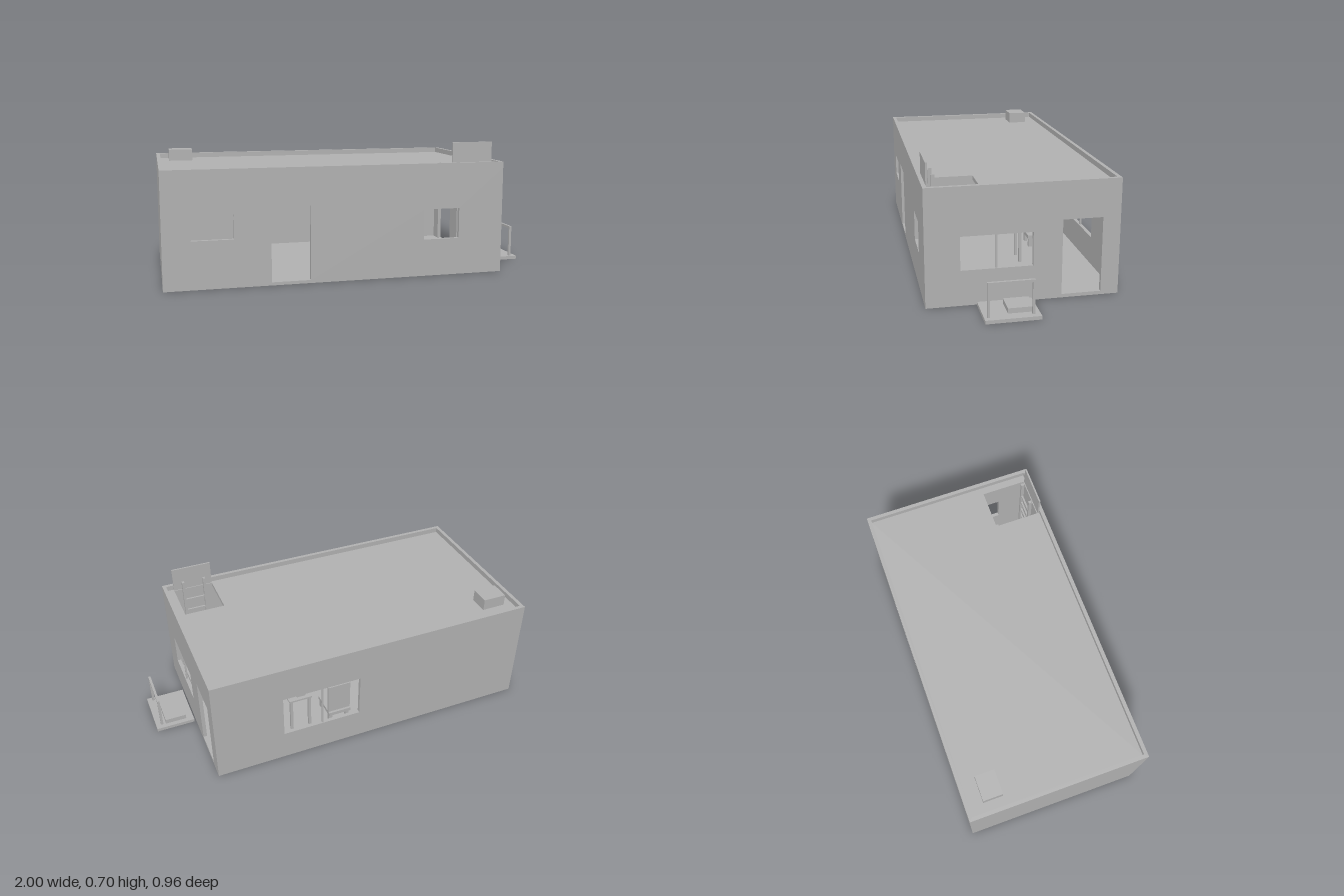
import * as THREE from 'three';

export function createModel() {
  const house = new THREE.Group();
  house.name = 'house';
  const plaster = new THREE.MeshStandardMaterial({ color: 0xb0b0b0 });
  plaster.name = 'plaster grey';

  const add = (geometry, name, parent = house) => {
    const mesh = new THREE.Mesh(geometry, plaster);
    mesh.name = name;
    parent.add(mesh);
    return mesh;
  };

  // Box given by its minimum and maximum along each axis
  const box = (name, x0, x1, y0, y1, z0, z1, parent = house) => {
    const mesh = add(new THREE.BoxGeometry(x1 - x0, y1 - y0, z1 - z0), name, parent);
    mesh.position.set((x0 + x1) / 2, (y0 + y1) / 2, (z0 + z1) / 2);
    return mesh;
  };

  // Rectangular panel with rectangular openings, extruded along local z
  const trace = (path, [a, b, c, d]) =>
    path.moveTo(a, c).lineTo(b, c).lineTo(b, d).lineTo(a, d).closePath();
  const panel = (name, outline, holes, depth) => {
    const shape = trace(new THREE.Shape(), outline);
    holes.forEach((h) => shape.holes.push(trace(new THREE.Path(), h)));
    return add(new THREE.ExtrudeGeometry(shape, { depth, bevelEnabled: false }), name);
  };

  const X0 = -1, X1 = 0.78, Z = 0.48, T = 0.02, TOP = 0.563;

  // Floor
  box('floor', X0 + T, X1 - T, 0, 0.015, -Z + T, Z - T);

  // Walls with window and door openings
  panel('frontWall', [X0, X1, 0, TOP], [
    [-0.86, -0.65, 0.245, 0.37],
    [-0.465, -0.265, 0.016, 0.4],
    [0.34, 0.535, 0.195, 0.355],
  ], T).position.z = Z - T;
  panel('backWall', [X0, X1, 0, TOP], [[-0.02, 0.41, 0.165, 0.405]], T).position.z = -Z;
  const side = (name, holes, x) => {
    const wall = panel(name, [-Z + T, Z - T, 0, TOP], holes, T);
    wall.rotation.y = Math.PI / 2;
    wall.position.x = x;
  };
  side('leftWall', [[-0.31, 0.045, 0.18, 0.35], [0.19, 0.39, 0.018, 0.402]], X1 - T);
  side('rightWall', [], X0);

  // Window mullions
  box('sideMullion', X1 - 0.015, X1 - 0.005, 0.18, 0.35, 0.131, 0.138);
  box('backMullion', 0.187, 0.195, 0.165, 0.405, -Z + 0.005, -Z + 0.015);

  // Roof slab with hatch opening, and parapet
  const flat = (mesh, y) => {
    mesh.rotation.x = -Math.PI / 2;
    mesh.position.y = y;
  };
  flat(panel('roof', [X0 + T, X1 - T, -Z + T, Z - T], [[0.5, 0.72, -0.445, -0.2]], 0.02), 0.547);
  flat(panel('parapet', [X0, X1, -Z, Z], [[X0 + T, X1 - T, -Z + T, Z - T]], 0.032), TOP);

  // Raised hatch lid, vent box and ladder
  box('hatchLid', 0.5, 0.72, 0.56, 0.7, 0.45, 0.459);
  box('roofVent', -0.93, -0.8, 0.56, 0.63, -0.385, -0.28);
  const ladder = new THREE.Group();
  ladder.name = 'ladder';
  house.add(ladder);
  for (const x of [0.55, 0.67]) box('ladderRail', x - 0.007, x + 0.007, 0.015, 0.63, 0.41, 0.428, ladder);
  for (let i = 1; i <= 7; i++) {
    box('ladderRung', 0.555, 0.665, i * 0.072, i * 0.072 + 0.01, 0.414, 0.424, ladder);
  }

  // Interior table with a cabinet standing on it
  const legs = (name, xs, zs, y1, size, parent) => {
    for (const x of xs) for (const z of zs) box(name, x, x + size, 0.015, y1, z, z + size, parent);
  };
  const table = new THREE.Group();
  table.name = 'table';
  house.add(table);
  box('tableTop', 0.19, 0.32, 0.212, 0.222, -0.32, -0.08, table);
  legs('tableLeg', [0.195, 0.3], [-0.318, -0.1], 0.212, 0.015, table);
  box('cabinet', 0.22, 0.27, 0.222, 0.31, -0.3, -0.14, table);

  // Chair
  const chair = new THREE.Group();
  chair.name = 'chair';
  house.add(chair);
  box('chairSeat', -0.03, 0.1, 0.065, 0.085, -0.35, -0.19, chair);
  legs('chairLeg', [-0.025, 0.075], [-0.335, -0.215], 0.065, 0.02, chair);
  box('chairBack', -0.03, 0.1, 0.085, 0.26, -0.337, -0.323, chair);

  // Low block below the hatch
  box('lowBench', 0.6, 0.74, 0.015, 0.1, 0.1, 0.3);

  // Porch platform with step and railing
  const porch = new THREE.Group();
  porch.name = 'porch';
  house.add(porch);
  box('porchBase', 0.79, 1, 0, 0.018, -0.035, 0.233, porch);
  box('porchStep', 0.83, 0.945, 0.018, 0.044, -0.01, 0.115, porch);
  for (const z of [-0.008, 0.206]) box('railPost', 0.96, 0.973, 0.018, 0.177, z, z + 0.012, porch);
  box('railTop', 0.96, 0.973, 0.177, 0.19, -0.008, 0.218, porch);

  return house;
}
